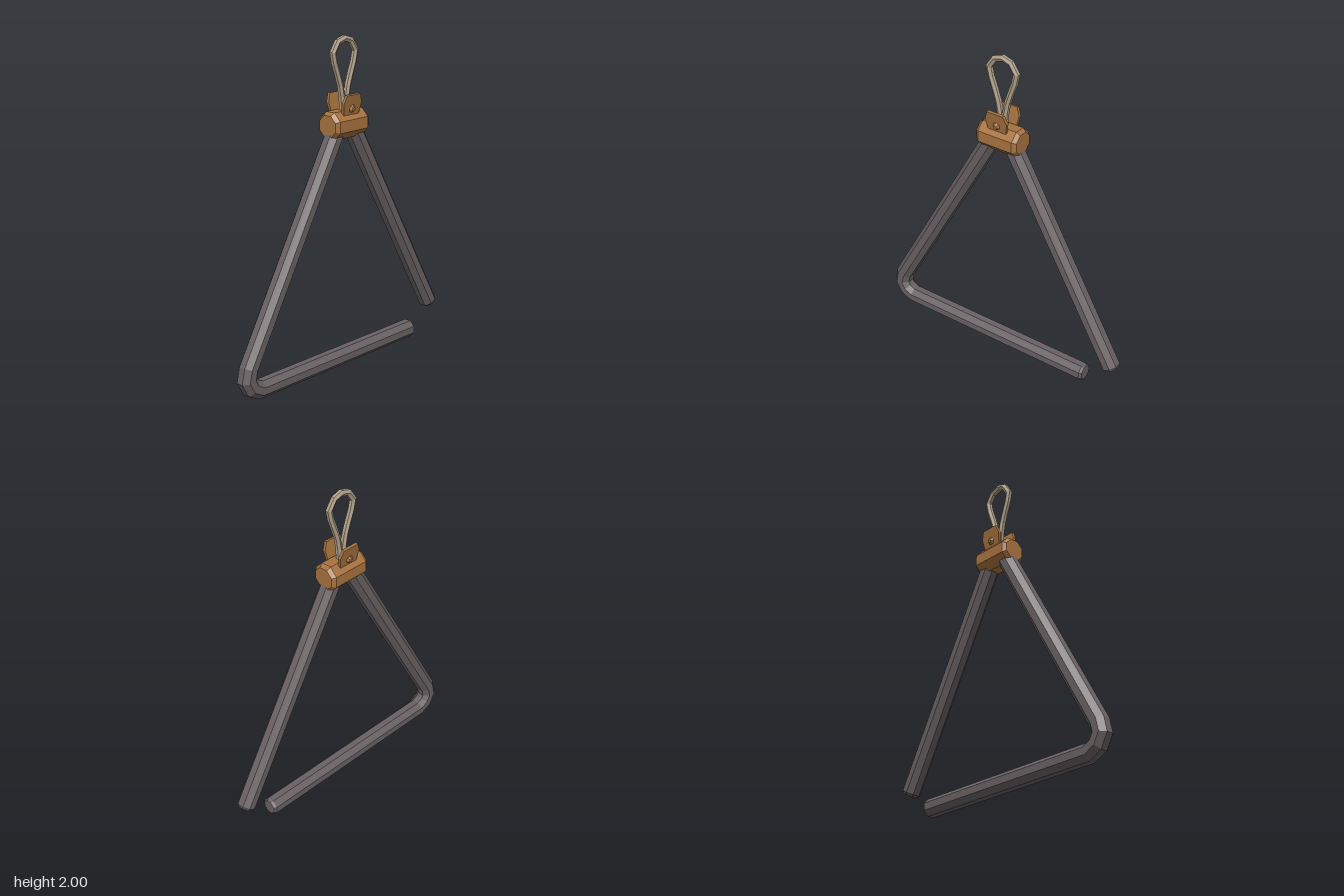
import * as THREE from 'three';

// Sweeps a regular polygon along points [x, y, radius] in the xy plane, with mitred corners and capped ends
function sweep(path, sides, turn) {
  const pts = path.map(([x, y]) => new THREE.Vector2(x, y));
  const pos = [], idx = [], n = pts.length;
  for (let i = 0; i < n; i++) {
    const a = pts[Math.max(i - 1, 0)], p = pts[i], b = pts[Math.min(i + 1, n - 1)];
    const d1 = (i > 0 ? p.clone().sub(a) : b.clone().sub(p)).normalize();
    const d2 = (i < n - 1 ? b.clone().sub(p) : d1.clone()).normalize();
    const t = d1.clone().add(d2).normalize();
    const mitre = 1 / t.dot(d1), r = path[i][2];
    for (let j = 0; j < sides; j++) {
      const ang = turn + (j / sides) * Math.PI * 2;
      const k = r * Math.cos(ang) * mitre;
      pos.push(p.x - t.y * k, p.y + t.x * k, r * Math.sin(ang));
    }
  }
  for (let i = 0; i < n - 1; i++) {
    for (let j = 0; j < sides; j++) {
      const a = i * sides + j, b = i * sides + ((j + 1) % sides);
      idx.push(a, b, a + sides, b, b + sides, a + sides);
    }
  }
  const last = (n - 1) * sides;
  for (let j = 1; j < sides - 1; j++) {
    idx.push(0, j + 1, j, last, last + j, last + j + 1);
  }
  const g = new THREE.BufferGeometry();
  g.setAttribute('position', new THREE.Float32BufferAttribute(pos, 3));
  g.setIndex(idx);
  const flat = g.toNonIndexed();
  flat.computeVertexNormals();
  return flat;
}

function material(name, color) {
  const m = new THREE.MeshStandardMaterial({ color, flatShading: true });
  m.name = name;
  return m;
}

function add(parent, name, geometry, mat) {
  const mesh = new THREE.Mesh(geometry, mat);
  mesh.name = name;
  parent.add(mesh);
  return mesh;
}

export function createModel() {
  const model = new THREE.Group();
  model.name = 'triangleInstrument';
  const steel = material('darkSteel', 0x696163);
  const leather = material('brownLeather', 0xa8733f);
  const cord = material('paleCord', 0xb0a08a);

  const oct = Math.PI / 8;
  const across = (apothem) => apothem / Math.cos(oct);

  // Bent steel rod with one open corner and chamfered ends
  const R = across(0.0525), E = across(0.041);
  add(model, 'rod', sweep([
    [0.62, 0.0525, E], [0.605, 0.0525, R],
    [-0.715, 0.0525, R], [-0.775, 0.082, R], [-0.805, 0.135, R], [-0.79, 0.2, R],
    [-0.08, 1.437, R], [-0.04, 1.475, R], [0.04, 1.475, R], [0.08, 1.437, R],
    [0.798, 0.193, R], [0.806, 0.179, E],
  ], 8, oct), steel);

  // Sleeve wrapped around the apex
  const S = across(0.081), C = across(0.063);
  add(model, 'sleeve', sweep([
    [-0.14, 1.487, C], [-0.117, 1.487, S], [0.117, 1.487, S], [0.14, 1.487, C],
  ], 8, oct), leather);

  // Hanging loop: one half profile, mirrored
  const half = [[0.012, 1.53], [0.019, 1.64], [0.032, 1.71], [0.052, 1.77],
    [0.08, 1.845], [0.093, 1.905], [0.054, 1.963]];
  const loop = [
    ...half, [0, 1.98], ...half.slice().reverse().map(([x, y]) => [-x, y]),
  ].map(([x, y]) => [x, y, 0.0195]);
  add(model, 'hangingLoop', sweep(loop, 6, Math.PI / 6), cord);

  // Outward leaning tabs with a rivet, front and back
  const outline = new THREE.Shape([
    [-0.06, 0], [0.06, 0], [0.075, 0.085], [0.055, 0.135], [-0.055, 0.135], [-0.075, 0.085],
  ].map(([x, y]) => new THREE.Vector2(x, y)));
  const tabGeometry = new THREE.ExtrudeGeometry(outline, { depth: 0.018, bevelEnabled: false });
  const rivetGeometry = new THREE.CylinderGeometry(0.012, 0.025, 0.016, 8).rotateX(Math.PI / 2);
  for (const side of ['front', 'back']) {
    const group = new THREE.Group();
    group.name = side + 'Tab';
    if (side === 'back') group.rotation.y = Math.PI;
    const lean = new THREE.Group();
    lean.name = side + 'TabLean';
    lean.position.set(0, 1.533, 0.036);
    lean.rotation.x = 0.18;
    add(lean, 'tabPlate', tabGeometry, leather);
    add(lean, 'rivet', rivetGeometry, leather).position.set(0, 0.052, 0.025);
    group.add(lean);
    model.add(group);
  }
  return model;
}
